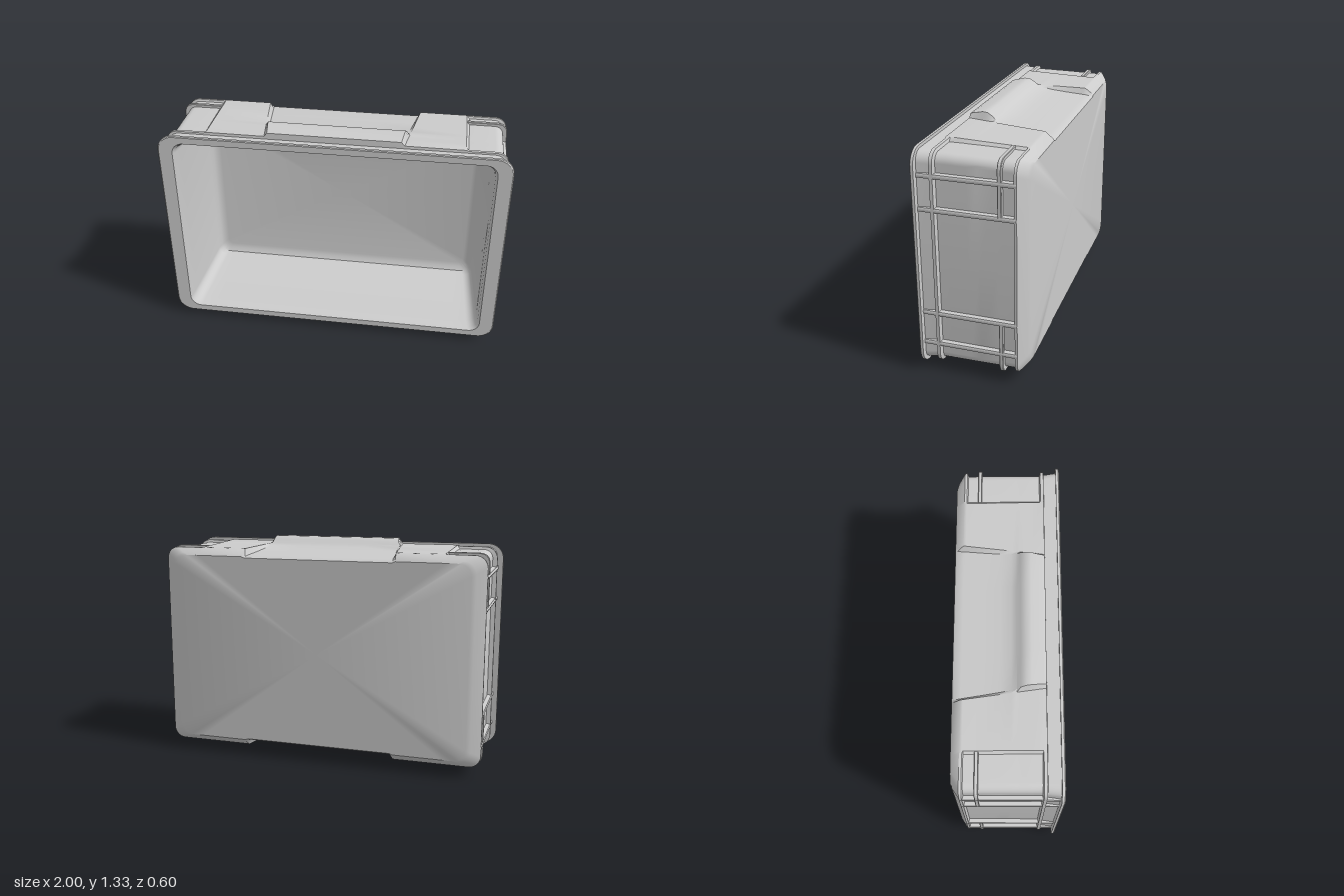
import * as THREE from 'three';
import { toCreasedNormals } from 'three/addons/utils/BufferGeometryUtils.js';

const CY = 0.67; // height of the crate's centre line
const material = new THREE.MeshStandardMaterial({ color: 0xcccccc });

// Rounded-rectangle cross-section. Along the long edges the height steps from
// hy (corner panel) to panel (flat panel) to mid (handle and finger scoop).
function ring([z, hx, hy, r, panel = hy, mid = panel]) {
  const w = 0.407 - 0.133 * z; // scoop widens towards the back
  const q = [[hx, 0]];
  for (let i = 0; i <= 8; i++) {
    const a = (i / 8) * Math.PI / 2;
    q.push([hx - r + r * Math.cos(a), hy - r + r * Math.sin(a)]);
  }
  q.push([0.75, hy], [0.735, panel], [w + 0.018, panel], [w, mid], [w / 2, mid], [0, mid]);
  const half = [
    ...q.slice(0, -1),
    ...q.slice(1).reverse().map(([x, y]) => [-x, y]),
  ];
  return [...half, ...half.map(([x, y]) => [-x, -y])].map(([x, y]) => [x, y, z]);
}

function loft(rings) {
  const n = rings[0].length;
  const index = [];
  for (let i = 0; i < rings.length - 1; i++) {
    for (let j = 0; j < n; j++) {
      const k = (j + 1) % n;
      const a = i * n + j, b = a + n, c = (i + 1) * n + k, d = i * n + k;
      index.push(a, b, c, a, c, d);
    }
  }
  const geo = new THREE.BufferGeometry();
  geo.setAttribute('position', new THREE.Float32BufferAttribute(rings.flat(2), 3));
  geo.setIndex(index);
  return toCreasedNormals(geo, 0.6);
}

function add(parent, name, geo, x = 0, y = 0, z = 0) {
  const mesh = new THREE.Mesh(geo, material);
  mesh.name = name;
  mesh.position.set(x, y, z);
  parent.add(mesh);
}

export function createModel() {
  const group = new THREE.Group();
  group.name = 'crate';
  const crate = new THREE.Group();
  crate.name = 'crateBody';
  crate.position.y = CY;
  group.add(crate);

  // Shell: z, half width, half height, corner radius, panel height, scoop height
  const inside = [
    [-0.25, 0.80, 0.48, 0.03],
    [-0.245, 0.825, 0.51, 0.04],
    [-0.23, 0.845, 0.535, 0.05],
    [-0.20, 0.86, 0.547, 0.055],
    [0.22, 0.895, 0.572, 0.06],
    [0.28, 0.903, 0.578, 0.06],
    [0.30, 0.915, 0.588, 0.065],
  ];
  const outside = [
    [0.30, 0.994, 0.626, 0.09],
    [0.295, 1.0, 0.63, 0.09],
    [0.28, 1.0, 0.63, 0.09],
    [0.28, 0.965, 0.612, 0.06],
    [0.21, 0.955, 0.608, 0.06],
    [0.208, 0.974, 0.618, 0.07, 0.624, 0.645],
    [0.19, 0.974, 0.618, 0.07, 0.624, 0.652],
    [0.184, 0.947, 0.602, 0.05, 0.624, 0.652],
    [0.13, 0.947, 0.602, 0.05, 0.622, 0.665],
    [0.10, 0.947, 0.602, 0.05, 0.621, 0.663],
    [0.07, 0.947, 0.601, 0.05, 0.620, 0.645],
    [0.05, 0.947, 0.601, 0.05, 0.619, 0.625],
    [0.02, 0.947, 0.601, 0.05, 0.618, 0.610],
    [-0.04, 0.947, 0.600, 0.05, 0.616, 0.597],
    [-0.14, 0.947, 0.598, 0.05, 0.613, 0.584],
    [-0.232, 0.947, 0.596, 0.05, 0.610, 0.574],
    [-0.238, 0.972, 0.608, 0.07, 0.610, 0.573],
    [-0.252, 0.972, 0.608, 0.07, 0.608, 0.572],
    [-0.29, 0.915, 0.578, 0.07, 0.578, 0.565],
    [-0.30, 0.89, 0.565, 0.07, 0.565, 0.558],
  ];
  const floor = [0, 0, -0.25], back = [0, 0, -0.30];
  const loops = [...inside, ...outside].map(ring);
  const count = loops[0].length;
  const cap = (p) => Array.from({ length: count }, () => p);
  add(crate, 'shell', loft([cap(floor), ...loops, cap(back)]));

  // Ridge wrapping each corner near the back
  const ridge = new THREE.Shape();
  ridge.moveTo(0.92, 0.30);
  ridge.lineTo(0.97, 0.30);
  ridge.lineTo(0.97, 0.55);
  ridge.quadraticCurveTo(0.97, 0.612, 0.91, 0.612);
  ridge.lineTo(0.742, 0.612);
  ridge.lineTo(0.742, 0.57);
  ridge.lineTo(0.92, 0.57);
  const ridgeGeo = new THREE.ExtrudeGeometry(ridge, {
    depth: 0.016, bevelEnabled: true, bevelSize: 0.003, bevelThickness: 0.003, bevelSegments: 1, curveSegments: 6,
  });

  // Tapered rib running front to back on the end walls
  const rib = new THREE.Shape();
  rib.moveTo(-0.025, -0.018);
  rib.lineTo(0.018, -0.012);
  rib.quadraticCurveTo(0.024, 0, 0.018, 0.012);
  rib.lineTo(-0.025, 0.018);
  const ribGeo = new THREE.ExtrudeGeometry(rib, { depth: 0.53, bevelEnabled: false, curveSegments: 4 });

  for (const sx of [1, -1]) {
    for (const sy of [1, -1]) {
      const corner = new THREE.Group();
      corner.name = (sy > 0 ? 'upper' : 'lower') + (sx > 0 ? 'Left' : 'Right') + 'Corner';
      corner.scale.set(sx, sy, 1);
      crate.add(corner);
      add(corner, 'cornerRidge', ridgeGeo, 0, 0, -0.17);
      for (const y of [0.302, 0.488]) add(corner, 'endRib', ribGeo, 0.953, y, -0.25);
    }
  }
  return group;
}
